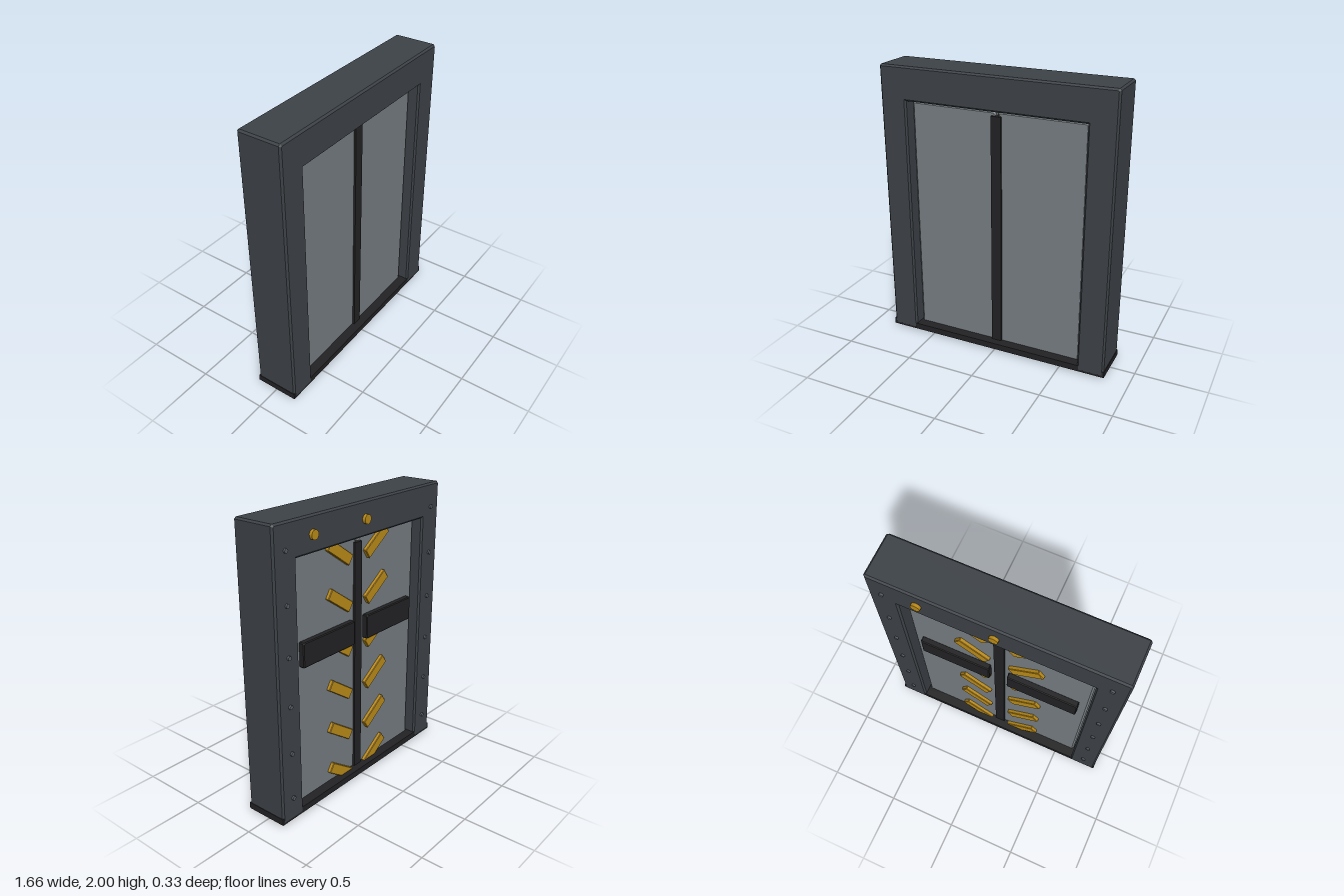
import * as THREE from 'three';

const mat = (name, color) => {
  const m = new THREE.MeshStandardMaterial({ color });
  m.name = name;
  return m;
};

// Extrude an outline from z0 to z1 with a one-step chamfer of size b
function chamferExtrude(points, z0, z1, b) {
  const shape = new THREE.Shape(points.map(([x, y]) => new THREE.Vector2(x, y)));
  const g = new THREE.ExtrudeGeometry(shape, {
    depth: z1 - z0 - 2 * b, bevelEnabled: true, bevelThickness: b,
    bevelSize: b, bevelOffset: -b, bevelSegments: 1,
  });
  g.translate(0, 0, z0 + b);
  return g;
}

// Box given by its extents, with chamfered edges and corners
function chamferBox(x0, x1, y0, y1, z0, z1, b) {
  return chamferExtrude([
    [x0 + b, y0], [x1 - b, y0], [x1, y0 + b], [x1, y1 - b],
    [x1 - b, y1], [x0 + b, y1], [x0, y1 - b], [x0, y0 + b],
  ], z0, z1, b);
}

export function createModel() {
  const model = new THREE.Group();
  model.name = 'slidingDoor';
  const frameGrey = mat('frameGrey', 0x3d4247);
  const doorGrey = mat('doorGrey', 0x757c80);
  const black = mat('black', 0x222224);
  const yellow = mat('hazardYellow', 0xbb8b18);
  const boltGrey = mat('boltGrey', 0x575d63);

  const add = (name, geometry, material, x = 0, y = 0, z = 0) => {
    const mesh = new THREE.Mesh(geometry, material);
    mesh.name = name;
    mesh.position.set(x, y, z);
    model.add(mesh);
    return mesh;
  };

  // Frame: two posts and a header in one outline
  const w = 0.826, o = 0.635, c = 0.012;
  add('frame', chamferExtrude([
    [-w, 0.023], [-o, 0.023], [-o, 1.767], [o, 1.767], [o, 0.023], [w, 0.023],
    [w, 2 - c], [w - c, 2], [-w + c, 2], [-w, 2 - c],
  ], -0.145, 0.165, c), frameGrey);

  // Sill under the doors
  const sill = new THREE.BoxGeometry(1.66, 0.045, 0.308);
  add('sill', sill, black, 0, 0.0425, 0.01);

  // Centre seal between the leaves
  add('centreSeal', new THREE.BoxGeometry(0.072, 1.675, 0.2), black, 0, 0.8875, 0.01);

  const stripe = chamferBox(-0.125, 0.125, -0.0375, 0.0375, -0.1, -0.07, 0.004);
  const bolt = new THREE.CylinderGeometry(0.015, 0.015, 0.03, 8).rotateX(Math.PI / 2);

  for (const side of [1, -1]) {
    const label = side > 0 ? 'left' : 'right';

    // Door leaf
    const leaf = chamferBox(-0.31, 0.31, 0.05, 1.756, -0.075, 0.095, 0.013);
    add(label + 'Leaf', leaf, doorGrey, side * 0.316);

    // Dark plate across the back of the leaf
    const plate = chamferBox(-0.25, 0.25, -0.085, 0.085, -0.115, -0.07, 0.006);
    add(label + 'BackPlate', plate, black, side * 0.314, 1.12);

    // Slanted hazard stripes and post bolts
    for (let i = 0; i < 6; i++) {
      const s = add(label + 'HazardStripe', stripe, yellow, side * 0.188, 0.103 + i * 0.318);
      s.rotation.z = side * 0.6;
      add(label + 'Bolt', bolt, boltGrey, side * 0.73, 0.185 + i * 0.33, -0.143);
    }
  }

  // Signal lamps on the back of the header
  const lamp = new THREE.CylinderGeometry(0.032, 0.032, 0.04, 10).rotateX(Math.PI / 2);
  for (const x of [0, 0.495]) add('signalLamp', lamp, yellow, x, 1.882, -0.146);

  return model;
}
